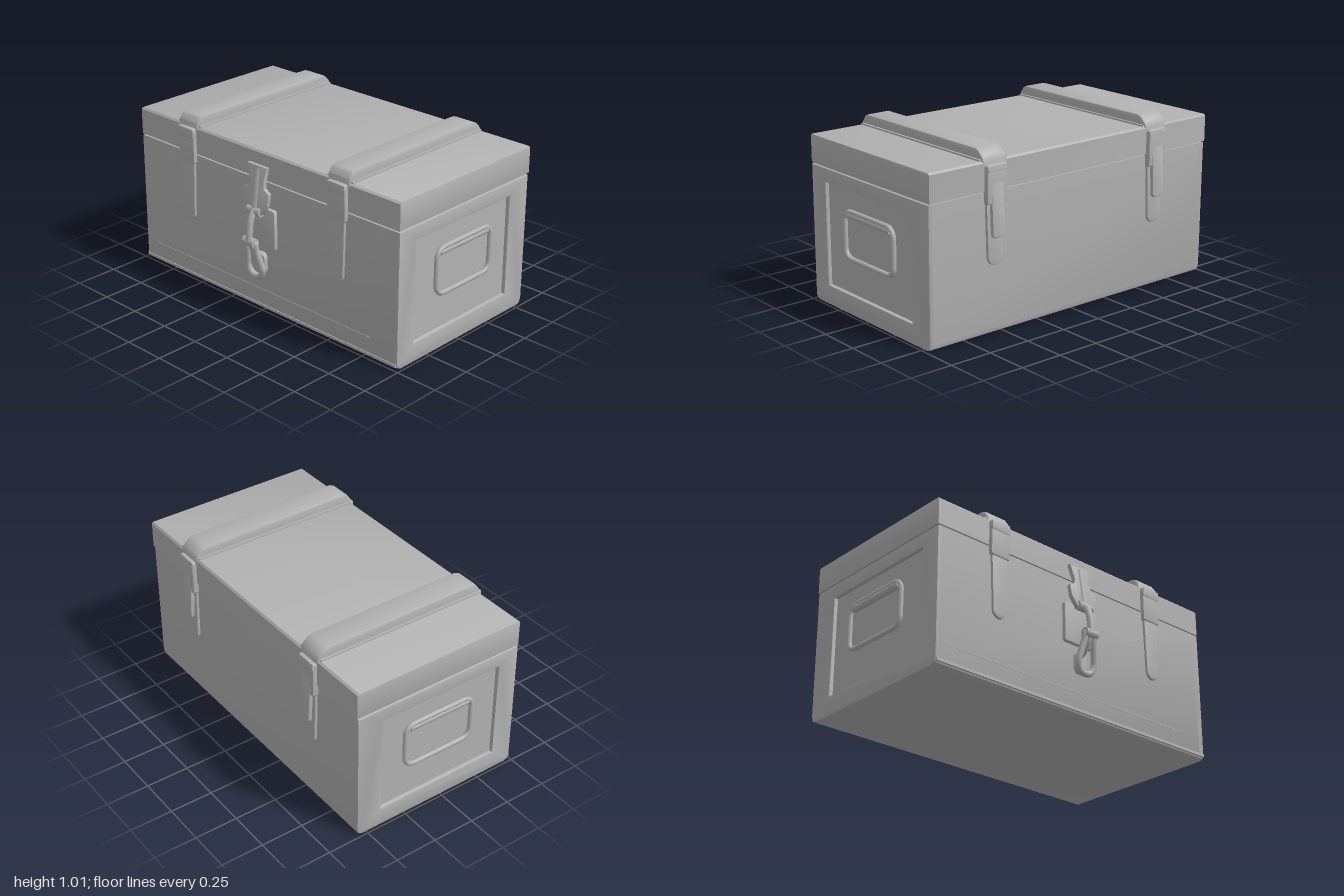
import * as THREE from 'three';
import { toCreasedNormals } from 'three/addons/utils/BufferGeometryUtils.js';

const steel = new THREE.MeshStandardMaterial({ color: 0xb2b2b2 });
steel.name = 'grey steel';

const V = (x, y, z) => new THREE.Vector3(x, y, z);
const outline = (pts) => new THREE.Shape(pts.map(([x, y]) => new THREE.Vector2(x, y)));

// Extrusion centred on its own depth, with edges eased inward by bevel
function slab(shape, depth, bevel) {
  const g = new THREE.ExtrudeGeometry(shape, {
    depth: depth - 2 * bevel, bevelEnabled: bevel > 0, bevelThickness: bevel,
    bevelSize: bevel, bevelOffset: -bevel, bevelSegments: 2, curveSegments: 8,
  });
  g.translate(0, 0, bevel - depth / 2);
  return toCreasedNormals(g, 0.6);
}

// Side profile given as [-z, y], extruded along x
const alongX = (shape, width, bevel) => slab(shape, width, bevel).rotateY(Math.PI / 2);

function add(parent, name, geometry, x = 0, y = 0, z = 0) {
  const m = new THREE.Mesh(geometry, steel);
  m.name = name;
  m.position.set(x, y, z);
  parent.add(m);
  return m;
}

const tube = (pts, radius, closed = false) => new THREE.TubeGeometry(
  new THREE.CatmullRomCurve3(pts, closed), pts.length * 8, radius, 10, closed);

function roundedRect(x0, y0, x1, y1, r) {
  const s = new THREE.Shape();
  s.absarc(x1 - r, y0 + r, r, -Math.PI / 2, 0);
  s.absarc(x1 - r, y1 - r, r, 0, Math.PI / 2);
  s.absarc(x0 + r, y1 - r, r, Math.PI / 2, Math.PI);
  s.absarc(x0 + r, y0 + r, r, Math.PI, Math.PI * 1.5);
  s.closePath();
  return s;
}

// Tongue with a round tip: half widths at the top and at the tip
function tongue(top, bottom, wTop, wTip) {
  const s = new THREE.Shape();
  s.moveTo(wTop, top);
  s.lineTo(-wTop, top);
  s.lineTo(-wTip, bottom + wTip);
  s.absarc(0, bottom + wTip, wTip, Math.PI, Math.PI * 2, false);
  s.closePath();
  return s;
}

function addBody(group) {
  const profile = () => outline([
    [-0.46, 0], [0.53, 0], [0.55, 0.01], [0.56, 0.04], [0.563, 0.782],
    [-0.49, 0.782], [-0.492, 0.03], [-0.482, 0.01],
  ]);
  add(group, 'body', alongX(profile(), 1.93, 0));

  // End frames leave a sunken panel on each end
  const frame = profile();
  frame.holes.push(new THREE.Path([[-0.36, 0.115], [-0.36, 0.7], [0.405, 0.7], [0.405, 0.115]]
    .map(([u, y]) => new THREE.Vector2(u, y))));
  for (const s of [-1, 1]) add(group, 'endFrame', alongX(frame, 0.05, 0.01), s * 0.963);

  add(group, 'bottomLip', new THREE.BoxGeometry(1.96, 0.016, 0.014), 0, 0.026, 0.49);
  add(group, 'frontCrease', new THREE.BoxGeometry(1.7, 0.006, 0.006), -0.05, 0.125, 0.491);

  // Recessed seam and lid
  add(group, 'seam', new THREE.BoxGeometry(1.95, 0.03, 1.03), 0, 0.785, -0.037);
  add(group, 'lid', alongX(outline([
    [-0.49, 0.79], [0.57, 0.79], [0.57, 0.938], [0.56, 0.948], [-0.48, 0.948], [-0.49, 0.938],
  ]), 1.975, 0.006));
}

// Carrying handle on each end: wire frame with a thicker grip
function addHandle(group, side) {
  const handle = new THREE.Group();
  handle.name = 'endHandle';
  const pts = roundedRect(-0.187, 0.322, 0.252, 0.587, 0.055).getPoints(6)
    .map((p) => V(0, p.y, -p.x));
  pts.pop();
  const curve = new THREE.CatmullRomCurve3(pts, true, 'centripetal');
  add(handle, 'handleFrame', new THREE.TubeGeometry(curve, 96, 0.014, 8, true));
  const grip = new THREE.CylinderGeometry(0.02, 0.02, 0.39, 14).rotateX(Math.PI / 2);
  add(handle, 'handleGrip', grip, -side * 0.005, 0.565, -0.03);
  handle.position.x = side * 0.982;
  group.add(handle);
}

// Raised band over the lid, with a front tongue and a rear clasp
function addStrap(group, x) {
  const strap = new THREE.Group();
  strap.name = 'strap';
  add(strap, 'lidBand', alongX(outline([
    [-0.495, 0.925], [0.575, 0.925], [0.572, 0.955], [0.56, 0.975], [0.535, 0.998], [0.505, 1.01],
    [-0.44, 1.01], [-0.465, 1.0], [-0.488, 0.97],
  ]), 0.155, 0.012));
  add(strap, 'lidBandFlange', new THREE.BoxGeometry(0.18, 0.018, 1.04), 0, 0.948, -0.04);

  add(strap, 'frontTongue', slab(tongue(0.8, 0.375, 0.056, 0.044), 0.026, 0.008), 0, 0, 0.493);
  add(strap, 'frontBuckle', slab(roundedRect(-0.064, 0.73, 0.064, 0.94, 0.012), 0.04, 0.01), 0, 0, 0.494);
  add(strap, 'frontBuckleBar', slab(roundedRect(-0.064, 0.88, 0.064, 0.94, 0.01), 0.04, 0.008), 0, 0, 0.498);

  add(strap, 'rearPlate', slab(tongue(0.78, 0.385, 0.062, 0.05), 0.03, 0.008), 0, 0, -0.564);
  add(strap, 'rearBuckle', slab(roundedRect(-0.066, 0.72, 0.066, 0.93, 0.012), 0.05, 0.012), 0, 0, -0.572);
  add(strap, 'rearHinge', new THREE.CylinderGeometry(0.024, 0.024, 0.12, 14).rotateZ(Math.PI / 2), 0, 0.9, -0.574);
  const lever = add(strap, 'rearLever',
    slab(roundedRect(-0.042, -0.17, 0.042, 0.17, 0.025), 0.026, 0.008), 0, 0.71, -0.59);
  lever.rotation.x = 0.05;
  strap.position.x = x;
  group.add(strap);
}

// Central hasp with a link and a teardrop ring
function addLatch(group) {
  const latch = new THREE.Group();
  latch.name = 'latch';
  add(latch, 'staplePlate', slab(roundedRect(-0.118, 0.4, 0.118, 0.635, 0.015), 0.03, 0.006), 0, 0, 0.498);
  const hasp = add(latch, 'hasp', slab(outline([
    [-0.078, 0.13], [-0.055, 0.04], [-0.06, 0.01], [-0.098, -0.01], [-0.095, -0.08], [-0.065, -0.13],
    [-0.035, -0.15], [0.035, -0.15], [0.065, -0.13], [0.095, -0.08], [0.098, -0.01], [0.06, 0.01],
    [0.055, 0.04], [0.068, 0.13],
  ]), 0.028, 0.007), 0, 0.745, 0.52);
  hasp.rotation.x = -0.13;
  add(latch, 'haspRib', tube([V(0, 0.86, 0.505), V(0, 0.76, 0.52), V(0, 0.64, 0.535)], 0.024));
  add(latch, 'haspKnuckle', new THREE.CylinderGeometry(0.026, 0.026, 0.1, 14).rotateZ(Math.PI / 2), 0, 0.62, 0.54);
  add(latch, 'link', tube([
    V(0, 0.635, 0.545), V(0, 0.58, 0.573), V(0, 0.52, 0.585), V(0, 0.45, 0.59),
  ], 0.019));
  add(latch, 'linkKnuckle', new THREE.CylinderGeometry(0.026, 0.026, 0.085, 14).rotateZ(Math.PI / 2), 0, 0.448, 0.582);
  add(latch, 'hook', tube([V(0, 0.45, 0.58), V(0, 0.4, 0.56), V(0, 0.35, 0.52), V(0, 0.33, 0.49)], 0.018));

  // Teardrop ring leaning back toward the body
  const half = [[0.028, 0.452], [0.036, 0.4], [0.05, 0.33], [0.056, 0.28], [0.036, 0.238]];
  const lean = ([x, y], s) => V(s * x, y, 0.535 + (y - 0.22) * 0.2);
  const loop = [...half.map((p) => lean(p, 1)), lean([0, 0.227], 1),
    ...half.slice().reverse().map((p) => lean(p, -1))];
  add(latch, 'ring', tube(loop, 0.018, true));
  add(latch, 'ringRest', slab(roundedRect(-0.04, 0.235, 0.04, 0.36, 0.03), 0.04, 0.008), 0, 0, 0.497);
  group.add(latch);
}

export function createModel() {
  const group = new THREE.Group();
  group.name = 'storageChest';
  addBody(group);
  for (const side of [-1, 1]) addHandle(group, side);
  for (const x of [-0.58, 0.57]) addStrap(group, x);
  addLatch(group);
  return group;
}
